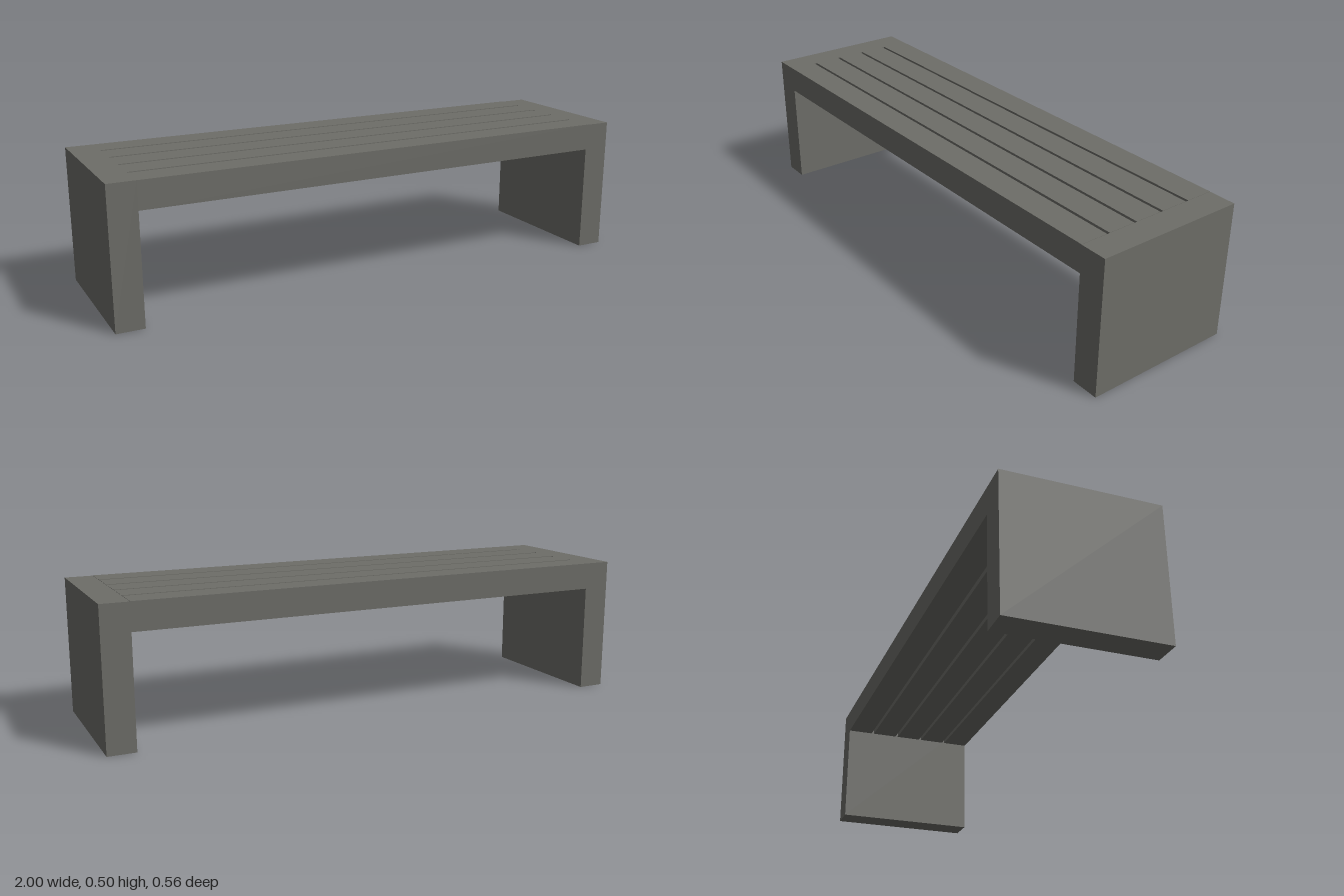
import * as THREE from 'three';

export function createModel() {
  const bench = new THREE.Group();
  bench.name = 'bench';
  const concrete = new THREE.MeshStandardMaterial({ color: 0x6d6d68 });
  concrete.name = 'warm grey';

  const depth = 0.556, height = 0.501, thick = 0.1;
  const slats = 5, gap = 0.011;
  const slatDepth = (depth - gap * (slats - 1)) / slats;

  function box(name, w, h, d, x, y, z) {
    const mesh = new THREE.Mesh(new THREE.BoxGeometry(w, h, d), concrete);
    mesh.name = name;
    mesh.position.set(x, y, z);
    bench.add(mesh);
  }

  // solid end panels, the right-hand one in the front view a hair lower
  box('leftLeg', thick, height - 0.001, depth, 1 - thick / 2, (height - 0.001) / 2, 0);
  box('rightLeg', thick, height, depth, -1 + thick / 2, height / 2, 0);

  // seat slats spanning between the end panels
  for (let i = 0; i < slats; i++) {
    const z = (i - (slats - 1) / 2) * (slatDepth + gap);
    box('seatSlat' + (i + 1), 2 - 2 * thick, thick, slatDepth, 0, height - thick / 2, z);
  }

  return bench;
}
